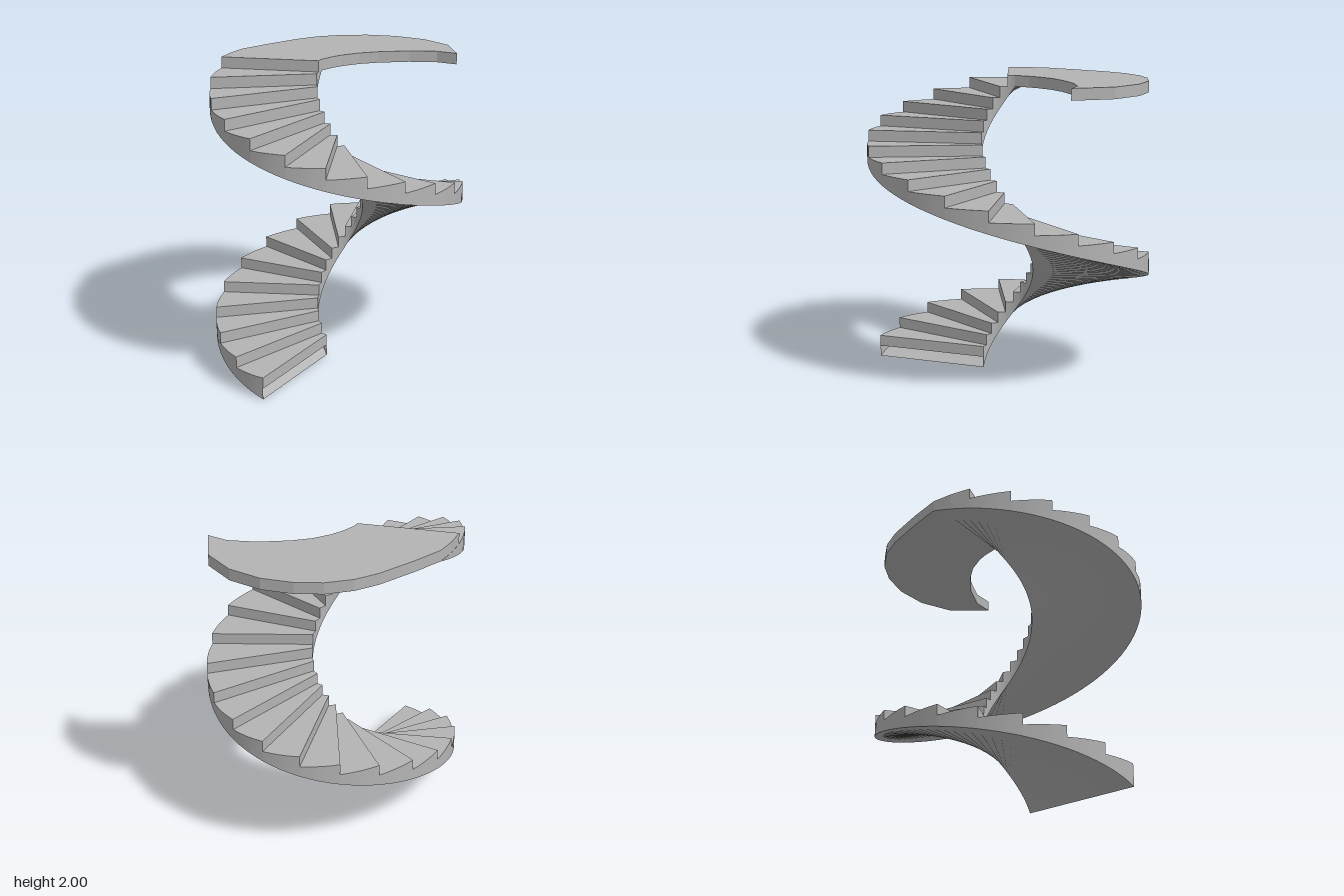
import * as THREE from 'three';
import { mergeGeometries } from 'three/addons/utils/BufferGeometryUtils.js';

const RISE = 2 / 27;                        // height of one step
const TURN = THREE.MathUtils.degToRad(17.36); // angle of one step
const START = -0.176;
const SHEAR = 0.082;                        // slight skew of the oval plan
const STEPS = 25;
const SUB = 4;

// Points on the inner and outer oval after k steps, at height y
const oval = (rx, rz) => (k, y = 0) => {
  const a = START + k * TURN;
  return new THREE.Vector3(-rx * Math.cos(a), y, -rz * Math.sin(a - SHEAR));
};
const inner = oval(0.175, 0.14);
const outer = oval(0.952, 0.783);

// Ribbon of quads between pairs of points
function ribbon(pairs) {
  const index = [];
  for (let i = 0; i < pairs.length - 1; i++) {
    const a = 2 * i;
    index.push(a, a + 2, a + 3, a, a + 3, a + 1);
  }
  const g = new THREE.BufferGeometry().setFromPoints(pairs.flat());
  g.setIndex(index);
  g.computeVertexNormals();
  return g;
}

// Ribbon pairs sampled from step k0 to step k1
function sweep(k0, k1, pair) {
  const n = Math.round((k1 - k0) * SUB);
  return ribbon(Array.from({ length: n + 1 }, (_, i) => pair(k0 + i / SUB)));
}

export function createModel() {
  const group = new THREE.Group();
  const stone = new THREE.MeshStandardMaterial({ color: 0xb4b4b4, side: THREE.DoubleSide });
  stone.name = 'grey stone';
  const add = (name, geometries) => {
    const mesh = new THREE.Mesh(mergeGeometries(geometries), stone);
    mesh.name = name;
    group.add(mesh);
  };

  const treads = [], risers = [], outerWalls = [], innerWalls = [];
  for (let k = 0; k <= STEPS; k++) {
    const last = k === STEPS;               // last piece carries the landing
    const top = (last ? k + 1 : k + 2) * RISE;
    if (!last) {
      treads.push(sweep(k, k + 1, t => [inner(t, top), outer(t, top)]));
      const low = (k + 1) * RISE;
      risers.push(ribbon([[outer(k, low), outer(k, top)], [inner(k, low), inner(k, top)]]));
    }
    outerWalls.push(sweep(k, k + 1, t => [outer(t, top), outer(t, t * RISE)]));
    innerWalls.push(sweep(k, k + 1, t => [inner(t, t * RISE), inner(t, top)]));
  }
  add('treads', treads);
  add('risers', risers);
  add('outerStringer', outerWalls);
  add('innerStringer', innerWalls);

  // Smooth helical soffit
  add('soffit', [sweep(0, STEPS + 1, t => [outer(t, t * RISE), inner(t, t * RISE)])]);

  // Landing whose inner edge sweeps out to a point
  const plan = p => [p.x, p.z];
  const outline = [
    plan(outer(25)), plan(outer(25.5)), plan(outer(26)),
    [0.08, -0.75], [0.345, -0.722], [0.51, -0.677], [0.667, -0.585], [0.79, -0.458],
    [0.89, -0.28], [0.936, -0.06], [0.895, 0.18], [0.712, 0.4],
    [0.677, 0.26], [0.56, 0.112], [0.4, -0.02], [0.285, -0.087], [0.158, -0.127], [0.08, -0.137],
    plan(inner(26)), plan(inner(25.5)), plan(inner(25)),
  ];
  const shape = new THREE.Shape(outline.map(([x, z]) => new THREE.Vector2(x, -z)));
  const slab = new THREE.ExtrudeGeometry(shape, { depth: RISE, bevelEnabled: false });
  slab.rotateX(-Math.PI / 2).translate(0, 26 * RISE, 0);
  add('landing', [slab]);

  return group;
}
